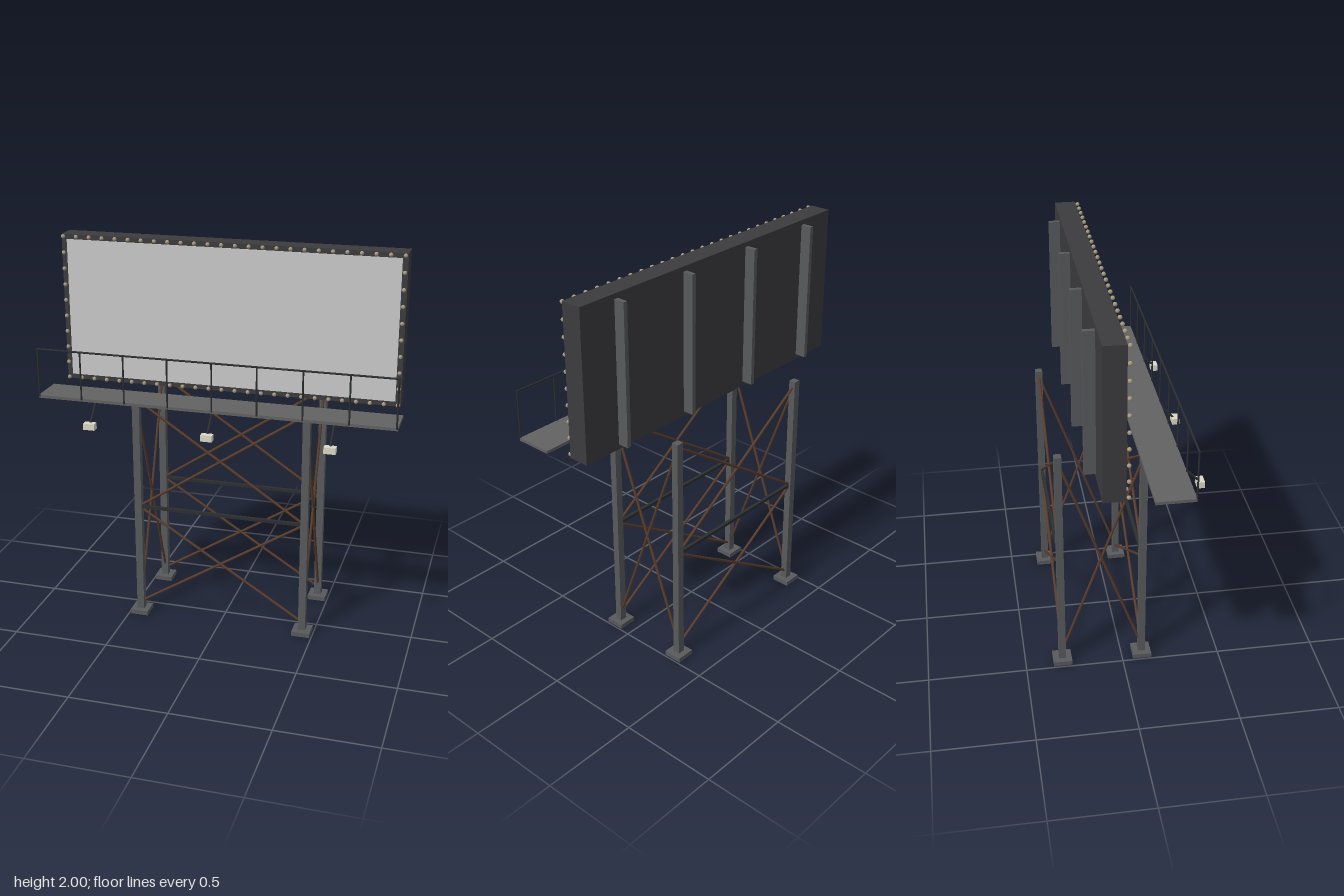
import * as THREE from 'three';

const mat = (color) => new THREE.MeshStandardMaterial({ color });

export function createModel() {
  const model = new THREE.Group();
  const steel = mat(0x585a5c), dark = mat(0x3c3c3f), rail = mat(0x2c2e30);
  const rust = mat(0x5a3d2c), face = mat(0xcccccc), deck = mat(0x626262);
  const lampShell = mat(0xdcd9c8), bulbGlass = mat(0xa89a80);

  const add = (name, geometry, material, x, y, z, parent = model) => {
    const mesh = new THREE.Mesh(geometry, material);
    mesh.name = name;
    mesh.position.set(x, y, z);
    parent.add(mesh);
    return mesh;
  };
  const box = (name, w, h, d, material, x, y, z, parent) =>
    add(name, new THREE.BoxGeometry(w, h, d), material, x, y, z, parent);

  // Round bar between two points
  const bar = (name, a, b, r, material, parent) => {
    const from = new THREE.Vector3(...a), to = new THREE.Vector3(...b);
    const dir = to.clone().sub(from);
    const mid = from.clone().add(to).multiplyScalar(0.5);
    const mesh = add(name, new THREE.CylinderGeometry(r, r, dir.length(), 8), material, mid.x, mid.y, mid.z, parent);
    mesh.quaternion.setFromUnitVectors(new THREE.Vector3(0, 1, 0), dir.normalize());
    return mesh;
  };
  const group = (name) => {
    const g = new THREE.Group();
    g.name = name;
    model.add(g);
    return g;
  };

  // Tower: four legs on foot plates
  const tower = group('tower');
  const legX = 0.443, legZ = [0.103, -0.31];
  for (const z of legZ) {
    for (const x of [-legX, legX]) {
      box('leg', 0.038, 1.235, 0.036, steel, x, 0.6175, z, tower);
      box('footPlate', 0.096, 0.024, 0.096, steel, x, 0.012, z, tower);
    }
    // Middle beam and two crossed bays
    box('middleBeam', 2 * legX, 0.016, 0.016, rail, 0, 0.618, z, tower);
    for (const [low, high] of [[0.06, 0.618], [0.618, 1.21]]) {
      for (const s of [-1, 1]) {
        bar('crossBrace', [-s * legX, low, z], [s * legX, high, z], 0.007, rust, tower);
      }
    }
  }
  // Full-height side crosses
  for (const x of [-legX, legX]) {
    bar('sideBrace', [x, 0.06, legZ[0]], [x, 1.2, legZ[1]], 0.007, rust, tower);
    bar('sideBrace', [x, 1.2, legZ[0]], [x, 0.06, legZ[1]], 0.007, rust, tower);
  }

  // Sign box with display face and rear ribs
  const sign = group('sign');
  box('signBox', 1.75, 0.76, 0.106, dark, 0, 1.62, -0.105, sign);
  box('displayFace', 1.695, 0.71, 0.006, face, 0, 1.62, -0.052, sign);
  for (const x of [-0.66, -0.22, 0.22, 0.66]) {
    box('rearRib', 0.022, 0.71, 0.06, steel, x, 1.62, -0.184, sign);
  }

  // Bulbs around the border
  const bulbs = group('borderBulbs');
  const bulb = new THREE.SphereGeometry(0.0105, 10, 8);
  const bx = 0.862, y0 = 1.25, y1 = 1.99;
  for (let i = 0; i < 26; i++) {
    const x = -bx + (2 * bx * i) / 25;
    for (const y of [y0, y1]) add('bulb', bulb, bulbGlass, x, y, -0.039, bulbs);
  }
  for (let i = 1; i < 9; i++) {
    const y = y0 + ((y1 - y0) * i) / 9;
    for (const x of [-bx, bx]) add('bulb', bulb, bulbGlass, x, y, -0.039, bulbs);
  }

  // Catwalk and front railing
  const catwalk = group('catwalk');
  box('walkway', 1.81, 0.015, 0.188, deck, 0, 1.234, 0.166, catwalk);
  bar('topRail', [-0.905, 1.482, 0.26], [0.905, 1.482, 0.26], 0.005, rail, catwalk);
  for (let i = 0; i < 9; i++) {
    const x = -0.9 + (1.8 * i) / 8;
    bar('railPost', [x, 1.235, 0.26], [x, 1.482, 0.26], 0.0045, rail, catwalk);
  }

  // Lamps on arms below the catwalk edge
  const lamps = group('lamps');
  for (const x of [-0.603, 0, 0.603]) {
    bar('lampArm', [x, 1.23, 0.25], [x, 1.14, 0.335], 0.0055, rail, lamps);
    box('lampHead', 0.058, 0.032, 0.036, lampShell, x, 1.132, 0.34, lamps);
  }

  return model;
}
